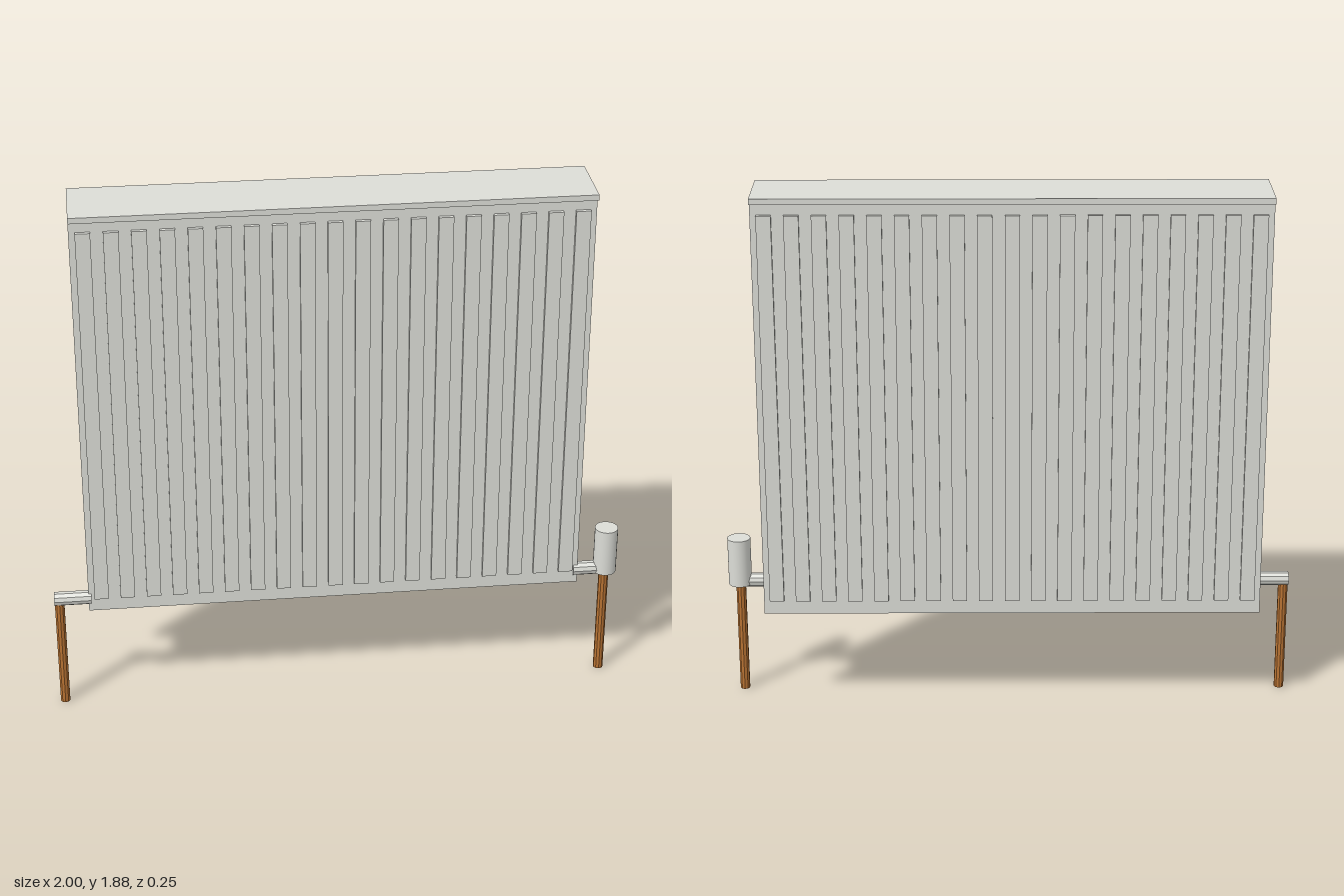
import * as THREE from 'three';

export function createModel() {
  const root = new THREE.Group();
  const enamel = new THREE.MeshStandardMaterial({ color: 0xdcddd7, flatShading: false });
  enamel.name = 'pale grey enamel';
  const copper = new THREE.MeshStandardMaterial({ color: 0xb87333 });
  copper.name = 'copper';

  const add = (name, geometry, material, x, y, z, parent = root) => {
    const mesh = new THREE.Mesh(geometry, material);
    mesh.name = name;
    mesh.position.set(x, y, z);
    parent.add(mesh);
    return mesh;
  };
  // Faceted cylinder with hard edges between its sides
  const faceted = (r, length, sides) => {
    const g = new THREE.CylinderGeometry(r, r, length, sides).toNonIndexed();
    g.computeVertexNormals();
    return g;
  };

  const cx = -0.0125, cz = -0.002, width = 1.735, half = 0.0875;
  const bottom = 0.378, capBottom = 1.861;
  const ribs = 19, pitch = width / ribs;

  // Top cover
  add('topCover', new THREE.BoxGeometry(width, 0.02, 0.25), enamel, cx, capBottom + 0.01, cz);

  // Front and back panels, each with upright ribs standing out on both sides
  const panelGeo = new THREE.BoxGeometry(width, capBottom - bottom, 0.026);
  const ribGeo = new THREE.BoxGeometry(0.05, 1.39, 0.052);
  const finGeo = new THREE.BoxGeometry(0.05, 1.347, 2 * half - 0.052);
  for (const [side, name] of [[1, 'front'], [-1, 'back']]) {
    const z = cz + side * half;
    const group = new THREE.Group();
    group.name = name + 'Panel';
    root.add(group);
    add(name + 'Sheet', panelGeo, enamel, cx, (bottom + capBottom) / 2, z, group);
    for (let i = 0; i < ribs; i++) {
      add(name + 'Rib', ribGeo, enamel, cx + (i - (ribs - 1) / 2) * pitch, 1.125, z, group);
    }
  }

  // Convector fins between the panels
  const fins = new THREE.Group();
  fins.name = 'convectorFins';
  root.add(fins);
  for (let i = 0; i < ribs; i++) {
    add('fin', finGeo, enamel, cx + (i - (ribs - 1) / 2) * pitch, 1.1265, cz, fins);
  }

  // Side connectors and copper supply pipes
  const pz = cz + half;
  const connector = (name, x0, x1) => {
    add(name, faceted(0.025, x1 - x0, 10), enamel, (x0 + x1) / 2, 0.426, pz).rotation.z = Math.PI / 2;
  };
  connector('rightConnector', -1, -0.87);
  connector('leftConnector', 0.84, 0.955);
  const pipeGeo = faceted(0.0175, 0.42, 10);
  add('rightPipe', pipeGeo, copper, -0.982, 0.21, pz);
  add('leftPipe', pipeGeo, copper, 0.954, 0.21, pz);

  // Valve head
  add('valveHead', new THREE.CylinderGeometry(0.041, 0.041, 0.175, 24), enamel, 0.956, 0.5, pz);

  return root;
}
